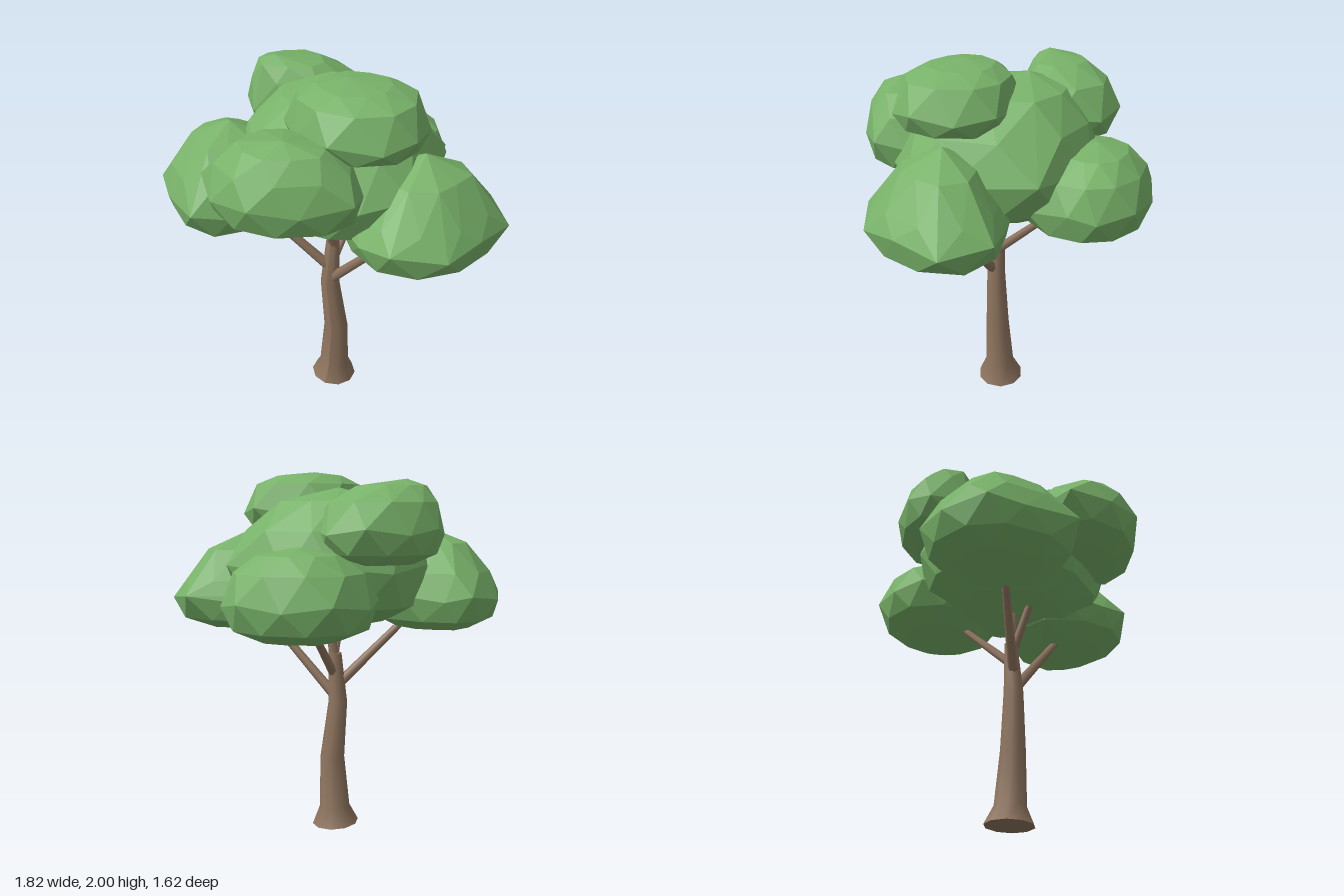
import * as THREE from 'three';
import { ConvexGeometry } from 'three/addons/geometries/ConvexGeometry.js';

const leaf = new THREE.MeshStandardMaterial({ color: 0x78b269, flatShading: true });
leaf.name = 'leaf green';
const bark = new THREE.MeshStandardMaterial({ color: 0x8e745e });
bark.name = 'bark brown';

// Faceted leaf clump. outline: [x, z] corners of the widest ring at height belt;
// power: above 1 gives a pointed top, below 1 a flat one
function clump(name, { outline, belt, bottom, apex, power }) {
  const top = new THREE.Vector3(...apex);
  const count = outline.length;
  const corners = outline.map(([x, z], i) => new THREE.Vector3(x, belt + (i % 2 ? 0.015 : -0.015), z));
  const middles = corners.map((c, i) => c.clone().lerp(corners[(i + 1) % count], 0.5));
  const centre = corners.reduce((sum, c) => sum.add(c), new THREE.Vector3()).divideScalar(count);
  const points = [...corners, top];

  // Copy of a ring, shrunk towards a hub and set at height y
  const ring = (source, hub, scale, y) => {
    for (const p of source) {
      const q = hub.clone().lerp(p, scale);
      points.push(q.setY(y));
    }
  };
  const rise = (scale) => belt + (top.y - belt) * Math.pow(1 - scale * scale, power / 2);
  ring(middles, top, 0.87, rise(0.85));
  ring(corners, top, 0.52, rise(0.52));
  ring(middles, centre, 0.93, belt + (bottom - belt) * 0.68);
  ring(corners, centre, 0.55, bottom);

  const mesh = new THREE.Mesh(new ConvexGeometry(points), leaf);
  mesh.name = name;
  return mesh;
}

// Leaning trunk: each ring is [y, x, z, radius], from top to base
function trunk() {
  const rings = [
    [1.01, -0.03, 0.03, 0.036],
    [0.72, -0.042, 0.05, 0.054],
    [0.4, -0.014, 0.033, 0.069],
    [0.11, -0.03, 0.025, 0.086],
    [0.01, -0.035, 0.022, 0.132],
  ];
  const geo = new THREE.CylinderGeometry(1, 1, 1, 10, rings.length - 1);
  const pos = geo.attributes.position;
  for (let i = 0; i < pos.count; i++) {
    const k = Math.round((0.5 - pos.getY(i)) * (rings.length - 1));
    const [y, x, z, r] = rings[k];
    const px = pos.getX(i);
    const tilt = k === rings.length - 1 ? -0.01 * px : 0;
    pos.setXYZ(i, x + px * r, y + tilt, z + pos.getZ(i) * r);
  }
  geo.computeVertexNormals();
  const mesh = new THREE.Mesh(geo, bark);
  mesh.name = 'trunk';
  return mesh;
}

// Straight tapering branch between two points
function branch(name, from, to, r0, r1) {
  const a = new THREE.Vector3(...from);
  const b = new THREE.Vector3(...to);
  const dir = b.clone().sub(a);
  const mesh = new THREE.Mesh(new THREE.CylinderGeometry(r1, r0, dir.length(), 7), bark);
  mesh.quaternion.setFromUnitVectors(new THREE.Vector3(0, 1, 0), dir.normalize());
  mesh.position.copy(a).add(b).multiplyScalar(0.5);
  mesh.name = name;
  return mesh;
}

export function createModel() {
  const tree = new THREE.Group();
  tree.name = 'tree';

  tree.add(trunk());

  const branches = new THREE.Group();
  branches.name = 'branches';
  branches.add(
    branch('rightBranch', [-0.04, 0.82, 0.05], [-0.41, 1.2, 0.17], 0.03, 0.02),
    branch('leftBranch', [-0.02, 0.76, 0.06], [0.4, 1.2, 0.15], 0.03, 0.02),
    branch('backBranch', [-0.02, 0.9, 0.02], [0.03, 1.2, -0.31], 0.026, 0.018),
    branch('frontBranch', [-0.02, 0.97, 0.04], [-0.05, 1.26, 0.17], 0.025, 0.02),
    branch('topBranch', [-0.025, 0.97, 0.03], [0.005, 1.28, 0.03], 0.028, 0.022),
  );
  tree.add(branches);

  const foliage = new THREE.Group();
  foliage.name = 'foliage';
  foliage.add(
    clump('centreClump', {
      outline: [[-0.56, 0.07], [-0.44, 0.32], [-0.27, 0.46], [0, 0.52], [0.3, 0.48], [0.5, 0.32],
        [0.54, 0.1], [0.47, -0.33], [0.12, -0.5], [-0.12, -0.5], [-0.4, -0.36], [-0.53, -0.14]],
      belt: 1.5, bottom: 1.21, apex: [-0.08, 1.91, -0.12], power: 1.2,
    }),
    clump('rightClump', {
      outline: [[-0.64, -0.15], [-0.78, -0.13], [-0.91, 0.07], [-0.91, 0.31], [-0.78, 0.45],
        [-0.53, 0.63], [-0.36, 0.53], [-0.18, 0.3], [-0.2, 0.05], [-0.4, -0.12]],
      belt: 1.34, bottom: 1.16, apex: [-0.53, 1.7, 0.2], power: 1.6,
    }),
    clump('leftClump', {
      outline: [[0.5, -0.19], [0.75, -0.21], [0.91, 0], [0.83, 0.25], [0.73, 0.45],
        [0.48, 0.55], [0.3, 0.48], [0.1, 0.3], [0.08, 0.05], [0.25, -0.15]],
      belt: 1.32, bottom: 1.145, apex: [0.5, 1.68, 0.13], power: 2.1,
    }),
    clump('backClump', {
      outline: [[-0.32, -0.57], [-0.18, -0.77], [0.05, -0.81], [0.28, -0.76], [0.41, -0.6],
        [0.42, -0.46], [0.36, -0.24], [0.1, -0.1], [-0.2, -0.18], [-0.33, -0.38]],
      belt: 1.35, bottom: 1.17, apex: [0.05, 1.62, -0.52], power: 0.95,
    }),
    clump('frontClump', {
      outline: [[-0.4, 0.28], [-0.48, 0.57], [-0.33, 0.74], [-0.1, 0.81], [0.12, 0.73],
        [0.32, 0.58], [0.3, 0.42], [0.2, 0.26], [0, 0.18], [-0.22, 0.18]],
      belt: 1.57, bottom: 1.385, apex: [-0.03, 1.84, 0.57], power: 1.15,
    }),
    clump('upperBackClump', {
      outline: [[-0.63, -0.17], [-0.61, -0.32], [-0.49, -0.46], [-0.29, -0.56], [-0.09, -0.5],
        [0.04, -0.3], [-0.01, -0.12], [-0.22, -0.02], [-0.5, 0]],
      belt: 1.69, bottom: 1.53, apex: [-0.43, 1.95, -0.13], power: 0.95,
    }),
    clump('topClump', {
      outline: [[-0.17, 0.1], [-0.17, 0.29], [-0.05, 0.41], [0.15, 0.5], [0.39, 0.43],
        [0.5, 0.29], [0.5, 0.07], [0.39, -0.1], [0.2, -0.13], [-0.02, -0.1]],
      belt: 1.79, bottom: 1.67, apex: [0.11, 2.0, 0.14], power: 0.6,
    }),
  );
  tree.add(foliage);

  return tree;
}
